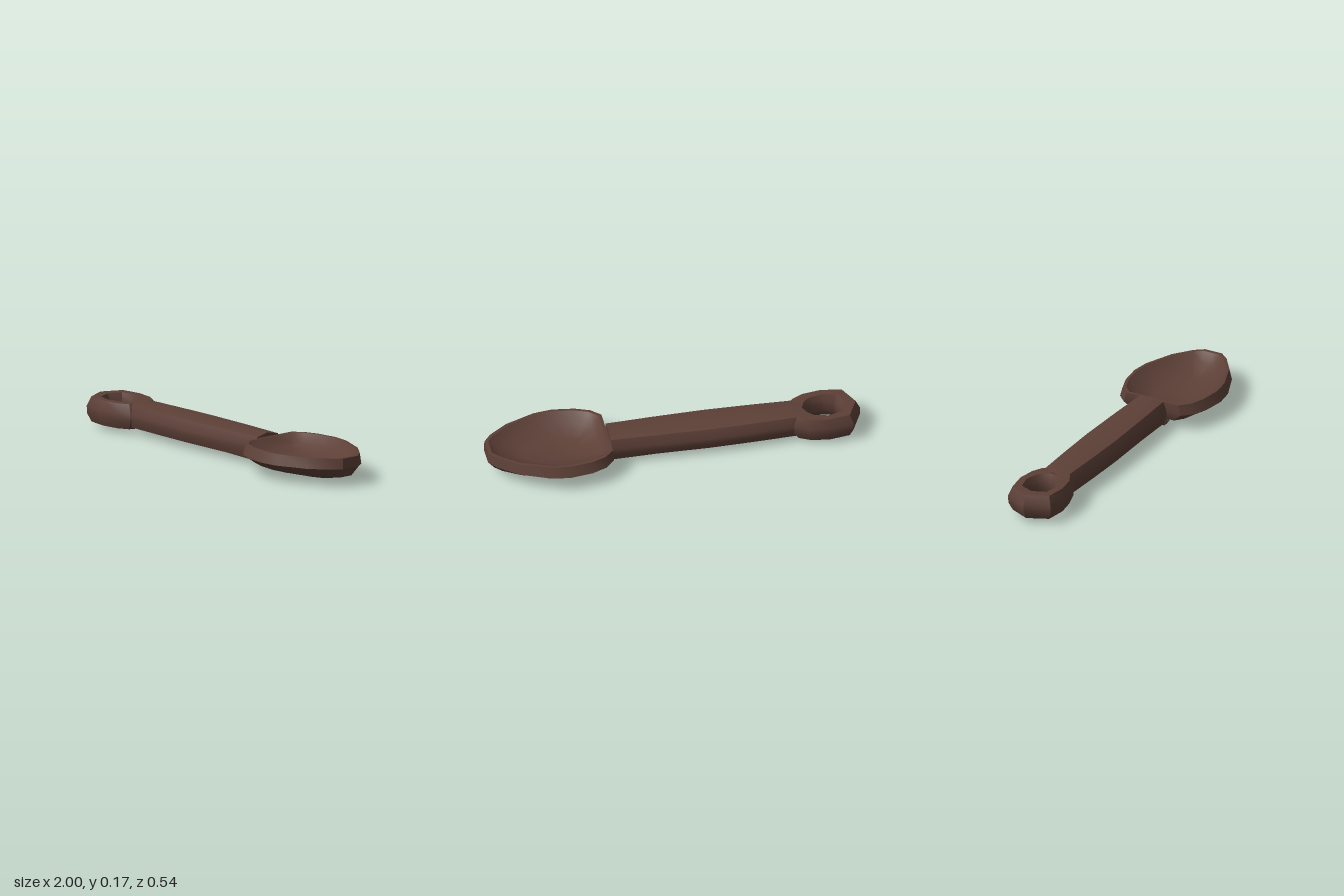
import * as THREE from 'three';
import { toCreasedNormals } from 'three/addons/utils/BufferGeometryUtils.js';

const wood = new THREE.MeshStandardMaterial({ color: 0x5d4037 });
wood.name = 'brown wood';

// Skins a list of equal-length loops of [x, y, z] points; collapsed loops act as caps.
function loft(name, loops, closed = false) {
  const pos = [];
  const v = (p) => new THREE.Vector3(...p);
  const tri = (a, b, c) => {
    const area = v(b).sub(v(a)).cross(v(c).sub(v(a))).length();
    if (area > 1e-9) pos.push(...a, ...b, ...c);
  };
  const n = loops[0].length;
  const rows = closed ? loops.length : loops.length - 1;
  for (let i = 0; i < rows; i++) {
    const lo = loops[i], hi = loops[(i + 1) % loops.length];
    for (let j = 0; j < n; j++) {
      const k = (j + 1) % n;
      tri(lo[j], hi[j], hi[k]);
      tri(lo[j], hi[k], lo[k]);
    }
  }
  const geo = new THREE.BufferGeometry();
  geo.setAttribute('position', new THREE.Float32BufferAttribute(pos, 3));
  const mesh = new THREE.Mesh(toCreasedNormals(geo, 0.62), wood);
  mesh.name = name;
  return mesh;
}

// Completes a half outline of [x, z] whose first and last points lie on z = 0.
const mirror = (half) => [...half, ...half.slice(1, -1).reverse().map(([x, z]) => [x, -z])];

// Places an outline at a height, scaled about a centre on the x axis.
const level = (outline, cx, y, sx, sz = sx) =>
  outline.map(([x, z]) => [cx + (x - cx) * sx, y, z * sz]);

function makeBowl() {
  const rim = mirror([[1, 0], [1, 0.055], [0.96, 0.11], [0.86, 0.19], [0.7, 0.258],
    [0.6, 0.272], [0.48, 0.255], [0.4, 0.222], [0.35, 0.17], [0.35, 0]]);
  // underside, outer wall, flat lip, then down into the hollow
  const steps = [[0.003, 0, 0], [0.015, 0.5, 0.25], [0.048, 0.9, 0.69], [0.1, 1, 1],
    [0.157, 0.995, 0.92], [0.157, 0.94, 0.865], [0.11, 0.8, 0.68], [0.08, 0.48, 0.38], [0.07, 0, 0]];
  return loft('bowl', steps.map(([y, sx, sz]) => level(rim, 0.63, y, sx, sz)));
}

function makeRing() {
  const cx = -0.81;
  const outer = mirror([[-0.6, 0], [-0.63, 0.095], [-0.7, 0.13], [-0.81, 0.147], [-0.94, 0.128], [-1, 0]]);
  // hole points share the outer loop's count
  const hole = mirror([[-0.71, 0], [-0.725, 0.036], [-0.75, 0.06], [-0.81, 0.076], [-0.875, 0.06], [-0.9, 0]]);
  return loft('hangingRing', [
    level(hole, cx, 0.03, 1.22),
    level(outer, cx, 0.03, 0.86),
    level(outer, cx, 0.075, 0.99),
    level(outer, cx, 0.115, 1),
    level(outer, cx, 0.165, 0.87),
    level(hole, cx, 0.165, 1.22),
    level(hole, cx, 0.125, 1),
    level(hole, cx, 0.07, 1),
  ], true);
}

function makeHandle() {
  // eight-sided section with a low ridge along the top and bottom
  const section = (x, w, top, bottom) => {
    const h = top - bottom;
    const half = [[0, top], [0.8, top - 0.1 * h], [1, top - 0.42 * h],
      [0.98, bottom + 0.38 * h], [0.8, bottom + 0.1 * h], [0, bottom]];
    const left = half.slice(1, -1).reverse();
    return [...half.map(([z, y]) => [x, y, -z * w]), ...left.map(([z, y]) => [x, y, z * w])];
  };
  const point = (x, y) => Array.from({ length: 10 }, () => [x, y, 0]);
  return loft('handle', [
    point(-0.685, 0.1),
    section(-0.685, 0.085, 0.172, 0.03),
    section(-0.64, 0.092, 0.177, 0.025),
    section(-0.4, 0.102, 0.177, 0.025),
    section(-0.18, 0.107, 0.177, 0.025),
    section(0.1, 0.1, 0.177, 0.025),
    section(0.345, 0.09, 0.177, 0.015),
    section(0.352, 0.09, 0.06, 0.015),
    section(0.5, 0.05, 0.04, 0.012),
    point(0.5, 0.025),
  ]);
}

export function createModel() {
  const spoon = new THREE.Group();
  spoon.name = 'woodenSpoon';
  spoon.add(makeBowl(), makeHandle(), makeRing());
  return spoon;
}
